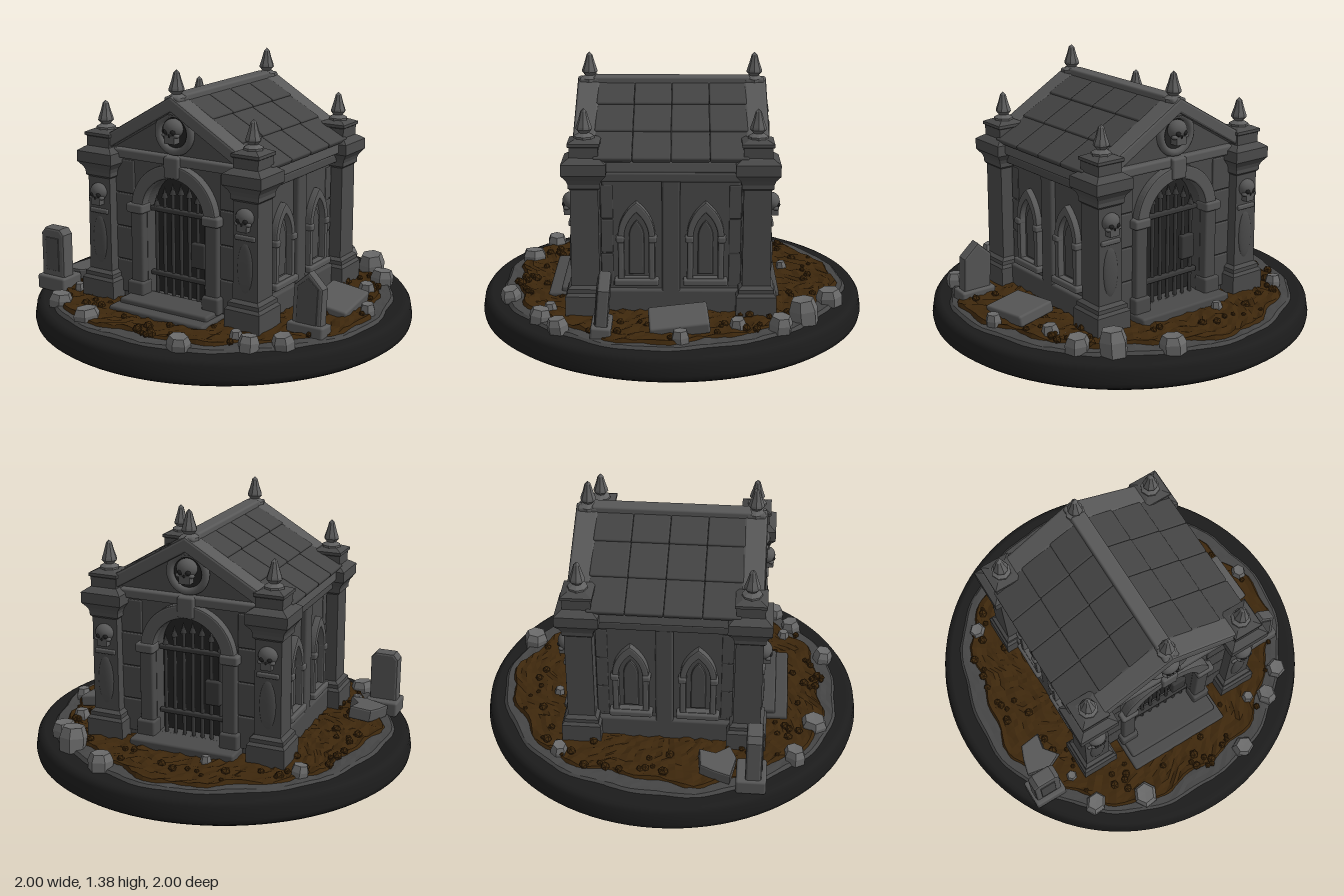
import * as THREE from 'three';
import { RoundedBoxGeometry } from 'three/addons/geometries/RoundedBoxGeometry.js';

const mat = (color, flat = false) => new THREE.MeshStandardMaterial({ color, flatShading: flat });
const stone = mat(0x4a4a4a), stoneFlat = mat(0x4a4a4a, true), trim = mat(0x585858), roofMat = mat(0x444444);
const dark = mat(0x222222), iron = mat(0x383838), black = mat(0x1c1c1c), rubble = mat(0x6a6a6a, true);
const soil = mat(0x3d270c, true), paving = mat(0x454545, true);

// Repeatable pseudo-random numbers
let seed = 7;
const rnd = () => (seed = (seed * 16807) % 2147483647) / 2147483647;

function add(parent, name, geo, material, x = 0, y = 0, z = 0) {
  const m = new THREE.Mesh(geo, material);
  m.name = name;
  m.position.set(x, y, z);
  parent.add(m);
  return m;
}
function group(parent, name) {
  const g = new THREE.Group();
  g.name = name;
  parent.add(g);
  return g;
}
// Box with softly worn edges, given by its centre
function box(parent, name, w, h, d, x, y, z, material = stone) {
  const r = Math.min(0.012, Math.min(w, h, d) * 0.3);
  return add(parent, name, new RoundedBoxGeometry(w, h, d, 2, r), material, x, y, z);
}
const lathe = (pts, sides, start = 0) =>
  new THREE.LatheGeometry(pts.map(p => new THREE.Vector2(...p)), sides, start);
const poly = pts => new THREE.Shape(pts.map(p => new THREE.Vector2(...p)));
function extrude(shape, depth, bevel = 0.008) {
  return new THREE.ExtrudeGeometry(shape, { depth: depth - 2 * bevel, bevelEnabled: bevel > 0, bevelSize: bevel,
    bevelThickness: bevel, bevelOffset: -bevel, bevelSegments: 2, curveSegments: 16 }).translate(0, 0, bevel);
}
// Round-headed opening
function archPath(C, hw, y0, spring) {
  const p = new C();
  p.moveTo(-hw, y0);
  p.lineTo(hw, y0);
  p.lineTo(hw, spring);
  p.absarc(0, spring, hw, 0, Math.PI, false);
  p.lineTo(-hw, y0);
  return p;
}
// Pointed opening
function lancet(C, hw, y0, spring, top) {
  const p = new C(), k = (top - spring) * 0.6;
  p.moveTo(-hw, y0);
  p.lineTo(hw, y0);
  p.lineTo(hw, spring);
  p.quadraticCurveTo(hw, spring + k, 0, top);
  p.quadraticCurveTo(-hw, spring + k, -hw, spring);
  p.lineTo(-hw, y0);
  return p;
}

function skull(parent, x, y, z, s) {
  const g = group(parent, 'skull'), ball = new THREE.SphereGeometry(1, 18, 12);
  g.position.set(x, y, z);
  g.scale.setScalar(s);
  add(g, 'cranium', ball, trim, 0, 0.25, 0).scale.set(0.95, 0.85, 0.8);
  box(g, 'jaw', 1.05, 0.75, 0.9, 0, -0.65, 0.2, trim);
  for (const e of [-1, 1]) {
    add(g, 'eyeSocket', ball, dark, e * 0.36, 0.02, 0.62).scale.set(0.25, 0.24, 0.2);
    add(g, 'cheekbone', ball, trim, e * 0.6, -0.3, 0.4).scale.set(0.28, 0.2, 0.3);
  }
  add(g, 'noseHole', ball, dark, 0, -0.3, 0.62).scale.set(0.1, 0.16, 0.15);
}

function finial(parent, x, y, z) {
  add(parent, 'finial', lathe([[0, 0], [0.05, 0], [0.05, 0.015], [0.024, 0.03], [0.04, 0.048], [0.038, 0.06],
    [0.026, 0.095], [0.015, 0.135], [0, 0.15]], 8), mat(0x606060, true), x, y, z);
}

// Gabled end with the gated doorway, facing +z
function buildEnd(parent) {
  const g = group(parent, 'gableEnd');
  const wall = poly([[-0.42, 0.13], [0.42, 0.13], [0.42, 0.97], [0, 1.21], [-0.42, 0.97]]);
  wall.holes.push(archPath(THREE.Path, 0.185, 0.19, 0.65));
  add(g, 'endWall', extrude(wall, 0.1, 0.004), stone, 0, 0, 0.325);
  add(g, 'gableCoping', extrude(poly([[0, 1.25], [-0.48, 0.968], [-0.48, 0.89], [0, 1.172], [0.48, 0.89],
    [0.48, 0.968]]), 0.115, 0.012), trim, 0, 0, 0.365);
  box(g, 'entablature', 0.74, 0.05, 0.1, 0, 0.925, 0.41, trim);

  // Door surround
  const ring = new THREE.Shape();
  ring.absarc(0, 0.65, 0.255, 0, Math.PI, false);
  ring.absarc(0, 0.65, 0.185, Math.PI, 0, true);
  add(g, 'doorArch', extrude(ring, 0.055), trim, 0, 0, 0.415);
  box(g, 'keystone', 0.09, 0.11, 0.08, 0, 0.895, 0.44, trim);
  for (const s of [-1, 1]) {
    box(g, 'doorJamb', 0.075, 0.5, 0.06, s * 0.225, 0.42, 0.435);
    box(g, 'jambCapital', 0.1, 0.05, 0.085, s * 0.228, 0.655, 0.44, trim);
    box(g, 'jambFoot', 0.1, 0.09, 0.085, s * 0.228, 0.225, 0.44);
    for (let i = 0; i < 4; i++)
      box(g, 'wallBlock', 0.12, 0.172, 0.02, s * 0.32, 0.27 + i * 0.177, 0.425);
  }

  // Iron gate
  for (let i = -3; i <= 3; i++) {
    const x = i * 0.05, top = 0.64 + Math.sqrt(0.18 ** 2 - x * x) - 0.07;
    add(g, 'gateBar', new THREE.CylinderGeometry(0.01, 0.01, top - 0.19, 8), iron, x, (top + 0.19) / 2, 0.39);
    add(g, 'gateSpike', new THREE.ConeGeometry(0.018, 0.06, 6), iron, x, top + 0.02, 0.39);
  }
  for (const y of [0.31, 0.65]) box(g, 'gateRail', 0.36, 0.026, 0.03, 0, y, 0.395, iron);
  box(g, 'gateLock', 0.085, 0.13, 0.035, 0.115, 0.445, 0.4, iron);

  // Gable medallion
  add(g, 'medallionDisc', new THREE.CylinderGeometry(0.09, 0.09, 0.03, 28).rotateX(Math.PI / 2), dark, 0, 1.065, 0.425);
  add(g, 'medallionRing', new THREE.TorusGeometry(0.095, 0.02, 10, 28), trim, 0, 1.065, 0.44);
  skull(g, 0, 1.075, 0.45, 0.057);

  // Ridge ornament
  box(g, 'ridgePedestal', 0.085, 0.09, 0.1, 0, 1.2, 0.42, trim);
  finial(g, 0, 1.225, 0.42);

  // Corner pillars
  const q = Math.SQRT2;
  const profile = [[0, 0.13], [0.1, 0.13], [0.1, 0.25], [0.088, 0.265], [0.088, 0.285], [0.07, 0.3], [0.068, 0.79],
    [0.078, 0.8], [0.078, 0.82], [0.085, 0.84], [0.108, 0.87], [0.108, 0.925], [0.08, 0.945], [0.07, 0.95],
    [0.07, 1.0], [0.078, 1.005], [0.078, 1.02], [0.045, 1.035], [0, 1.035]].map(([r, y]) => [r * q, y]);
  for (const s of [-1, 1]) {
    const p = group(g, 'cornerPillar');
    p.position.set(s * 0.44, 0, 0.42);
    add(p, 'pillarShaft', lathe(profile, 4, Math.PI / 4), stoneFlat);
    finial(p, 0, 1.03, 0);
    skull(p, 0, 0.705, 0.07, 0.052);
    add(p, 'shaftRelief', new THREE.SphereGeometry(1, 16, 10), stone, 0, 0.46, 0.065).scale.set(0.045, 0.13, 0.016);
    box(p, 'reliefBand', 0.115, 0.025, 0.03, 0, 0.615, 0.065, trim);
  }
  return g;
}

// Long wall with two pointed windows, facing +z
function buildSide(parent) {
  const g = group(parent, 'sideWall');
  box(g, 'plinth', 0.74, 0.13, 0.04, 0, 0.2, 0.455);
  box(g, 'centrePilaster', 0.09, 0.68, 0.04, 0, 0.5, 0.455);
  box(g, 'lowerCornice', 0.74, 0.05, 0.06, 0, 0.845, 0.45);
  box(g, 'upperCornice', 0.76, 0.06, 0.09, 0, 0.905, 0.46, trim);
  for (const s of [-1, 1]) {
    const w = group(g, 'window');
    w.position.set(s * 0.17, 0, 0.435);
    const frame = lancet(THREE.Shape, 0.092, 0.3, 0.54, 0.72);
    frame.holes.push(lancet(THREE.Path, 0.06, 0.33, 0.53, 0.665));
    add(w, 'windowFrame', extrude(frame, 0.045), trim);
    add(w, 'windowPanel', extrude(lancet(THREE.Shape, 0.065, 0.32, 0.53, 0.67), 0.008, 0), dark);
    add(w, 'windowRelief', extrude(lancet(THREE.Shape, 0.038, 0.34, 0.53, 0.62), 0.022), stone);
    box(w, 'windowSill', 0.22, 0.035, 0.07, 0, 0.308, 0.025, trim);
    for (const e of [-1, 1]) box(w, 'windowImpost', 0.042, 0.035, 0.06, e * 0.08, 0.53, 0.025, trim);
    for (let i = 0; i < 3; i++)
      box(g, 'wallBlock', 0.06, 0.17, 0.016, s * 0.315, 0.36 + i * 0.176, 0.44);
  }
  return g;
}

function buildRoof(parent) {
  const g = group(parent, 'roof');
  add(g, 'roofCore', extrude(poly([[-0.49, 0.92], [0.49, 0.92], [0, 1.215]]), 0.76, 0), roofMat, 0, 0, -0.38);
  const angle = Math.atan2(0.29, 0.5);
  for (const s of [-1, 1])
    for (let row = 0; row < 3; row++)
      for (let col = 0; col < 4; col++) {
        const t = (row + 0.5) / 3;
        const tile = box(g, 'roofSlab', 0.205, 0.028, 0.187, s * 0.51 * t, 1.232 - 0.295 * t,
          -0.282 + col * 0.188, roofMat);
        tile.rotation.z = -s * (angle - 0.05);
      }
  box(g, 'ridgeBeam', 0.08, 0.05, 0.8, 0, 1.228, 0, trim);
}

// Uneven disc of ground with a ragged rim
function ground(parent, name, radius, y, bump, ragged, material) {
  const geo = new THREE.RingGeometry(0.3, 1, 120, 22).rotateX(-Math.PI / 2), p = geo.attributes.position;
  for (let i = 0; i < p.count; i++) {
    const x = p.getX(i), z = p.getZ(i), a = Math.atan2(z, x), r = Math.hypot(x, z);
    const k = radius + ragged * (Math.sin(3 * a + 1) + 0.7 * Math.sin(7 * a) + 0.5 * Math.sin(17 * a + 2));
    const n = Math.sin(x * 31 + 3 * Math.sin(z * 17)) * Math.sin(z * 29 + 2 * Math.sin(x * 23));
    p.setXYZ(i, x * k, r > 0.99 ? 0.115 : y + bump * n, z * k);
  }
  geo.computeVertexNormals();
  add(parent, name, geo, material);
}

function rock(parent, x, z, r, top) {
  const h = top - 0.12;
  const m = add(parent, 'rock', lathe([[0, 0], [r, 0], [r * 1.05, h * 0.6], [r * 0.8, h], [0, h * 0.97]], 6), rubble, x, 0.12, z);
  m.rotation.set((rnd() - 0.5) * 0.25, rnd() * 3, (rnd() - 0.5) * 0.25);
  m.scale.set(0.9 + rnd() * 0.2, 1, 0.85 + rnd() * 0.2);
}

export function createModel() {
  const root = new THREE.Group();
  root.name = 'mausoleum';

  // Round plinth and soil
  add(root, 'base', lathe([[0, 0], [0.975, 0], [0.995, 0.015], [1, 0.04], [0.99, 0.1], [0.975, 0.122], [0.95, 0.13],
    [0, 0.13]], 96), black);
  ground(root, 'paving', 0.915, 0.143, 0.004, 0.012, paving);
  ground(root, 'soil', 0.85, 0.156, 0.011, 0.03, soil);
  for (let i = 0; i < 90; i++) {
    const a = rnd() * Math.PI * 2, r = 0.62 + rnd() * 0.22;
    add(root, 'clod', new THREE.IcosahedronGeometry(0.012 + rnd() * 0.014, 0), soil,
      Math.cos(a) * r, 0.16, Math.sin(a) * r).rotation.y = a * 5;
  }

  // Building
  box(root, 'innerCore', 0.89, 0.82, 0.68, 0, 0.53, 0, stone);
  for (const s of [0, 1]) {
    buildEnd(root).rotation.y = s * Math.PI;
    buildSide(root).rotation.y = Math.PI * (s - 0.5);
    box(root, 'gateShadow', 0.39, 0.7, 0.02, 0, 0.52, s ? -0.335 : 0.335, dark);
  }
  buildRoof(root);

  // Steps
  box(root, 'lowerStep', 0.57, 0.07, 0.22, 0, 0.142, 0.52);
  box(root, 'upperStep', 0.53, 0.1, 0.18, 0, 0.152, 0.475);
  box(root, 'backStep', 0.57, 0.09, 0.15, 0, 0.147, -0.475);

  // Upright headstone
  const a = group(root, 'squareHeadstone');
  a.position.set(-0.755, 0, 0.455);
  box(a, 'headstoneFoot', 0.18, 0.08, 0.15, 0, 0.17, 0, trim);
  const slab = poly([[-0.075, 0.17], [0.075, 0.17], [0.075, 0.44], [0.05, 0.47], [-0.05, 0.47], [-0.075, 0.44]]);
  add(a, 'headstoneSlab', extrude(slab, 0.08, 0.012), trim, 0, 0, -0.03);
  box(a, 'headstonePanel', 0.085, 0.18, 0.01, 0, 0.33, 0.05, stone);

  // Pointed leaning headstone
  const b = group(root, 'pointedHeadstone');
  b.position.set(0.705, 0, 0.345);
  b.rotation.x = -0.08;
  box(b, 'headstoneFoot', 0.2, 0.07, 0.1, 0, 0.16, 0, trim);
  const peak = k => poly([[-0.08 * k, 0.17], [0.08 * k, 0.17], [0.08 * k, 0.375], [0, 0.45 - (1 - k) * 0.1], [-0.08 * k, 0.375]]);
  add(b, 'headstoneSlab', extrude(peak(1), 0.06, 0.01), trim, 0, 0, -0.03);
  add(b, 'headstonePanel', extrude(peak(0.7), 0.012, 0.003), stone, 0, 0, 0.024);

  // Fallen slabs
  const fallen = box(root, 'fallenSlab', 0.21, 0.06, 0.29, 0.67, 0.185, -0.04, trim);
  fallen.rotation.set(0.1, 0.05, -0.16);
  const shard = poly([[-0.1, -0.05], [0.02, -0.1], [0.1, -0.08], [0.06, 0.0], [0.09, 0.08], [-0.02, 0.09], [-0.06, 0.03]]);
  const broken = add(root, 'brokenSlab', extrude(shard, 0.07, 0.01).rotateX(-Math.PI / 2), trim, -0.71, 0.155, 0.28);
  broken.rotation.set(0.05, 0.2, 0.12);

  // Scattered rocks: x, z, radius, top
  for (const r of [[0.31, -0.81, 0.06, 0.21], [0.55, -0.66, 0.065, 0.25], [0.67, -0.53, 0.058, 0.21],
    [0.68, -0.33, 0.045, 0.2], [-0.62, -0.53, 0.042, 0.2], [0.83, -0.05, 0.04, 0.2], [0.69, 0.54, 0.055, 0.2],
    [0.56, 0.65, 0.05, 0.2], [0.46, 0.6, 0.034, 0.19], [0.28, 0.82, 0.06, 0.2], [-0.31, 0.77, 0.065, 0.2],
    [-0.57, 0.67, 0.06, 0.2], [-0.16, -0.6, 0.03, 0.19], [-0.6, 0.47, 0.028, 0.19]]) rock(root, ...r);
  return root;
}
